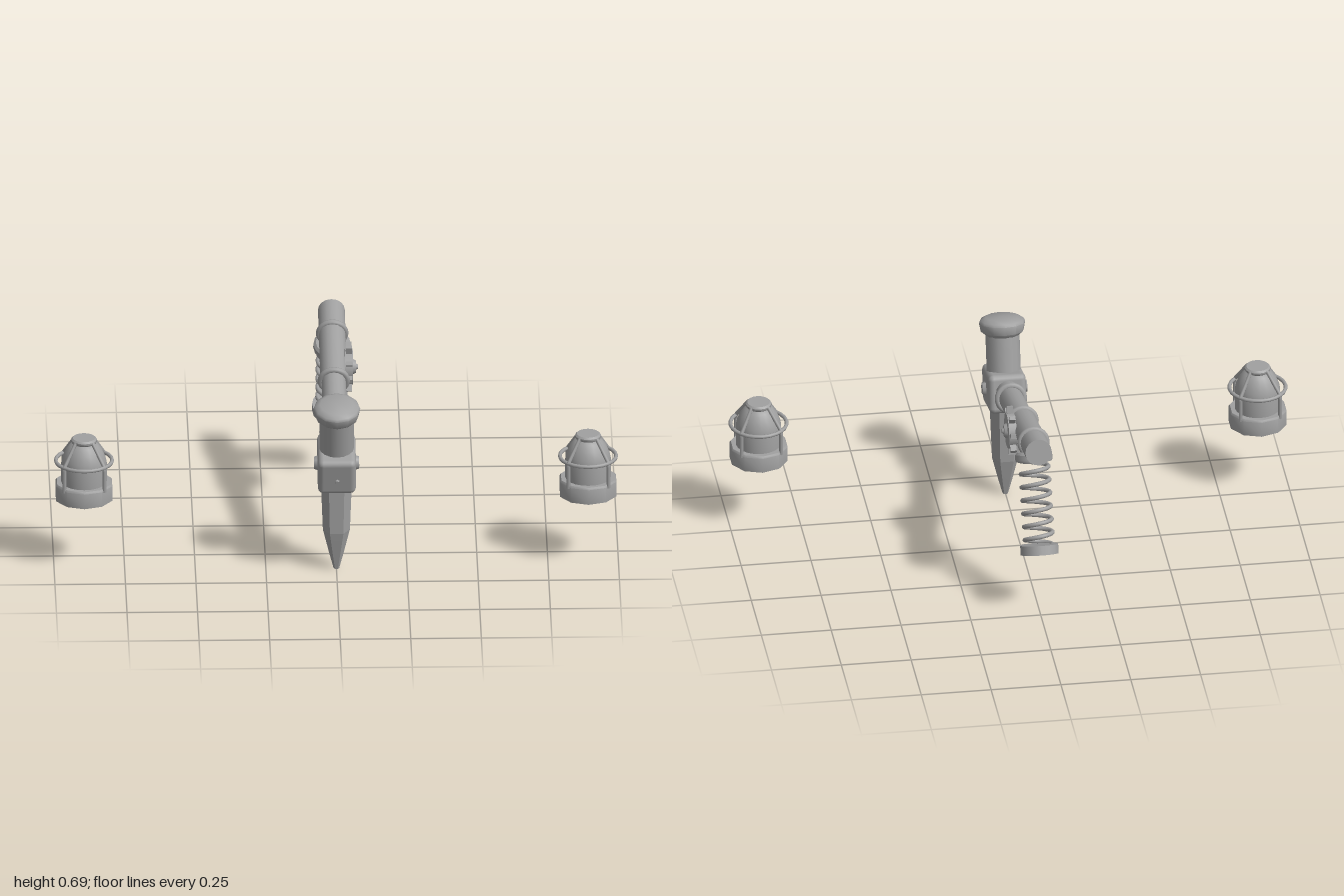
import * as THREE from 'three';
import { RoundedBoxGeometry } from 'three/addons/geometries/RoundedBoxGeometry.js';
import { toCreasedNormals } from 'three/addons/utils/BufferGeometryUtils.js';

const steel = new THREE.MeshStandardMaterial({ color: 0xa0a0a0 });
steel.name = 'steel grey';

function add(parent, name, geometry, pos = [0, 0, 0], rot = [0, 0, 0]) {
  const mesh = new THREE.Mesh(geometry, steel);
  mesh.name = name;
  mesh.position.set(...pos);
  mesh.rotation.set(...rot);
  parent.add(mesh);
  return mesh;
}

function group(parent, name, pos, rotX = 0) {
  const g = new THREE.Group();
  g.name = name;
  g.position.set(...pos);
  g.rotation.x = rotX;
  parent.add(g);
  return g;
}

// Turned part from [radius, height] pairs listed bottom to top
function turned(points, sides, crease = 0.7) {
  const profile = points.map(([r, y]) => new THREE.Vector2(r, y));
  return toCreasedNormals(new THREE.LatheGeometry(profile, sides), crease);
}

const cylinder = (r, h, sides = 16) => new THREE.CylinderGeometry(r, r, h, sides);
const vec = (x, y, z) => new THREE.Vector3(x, y, z);

// Striking head, handle and gear, all on the tilted frame of the head
function buildTool(parent) {
  const tool = group(parent, 'hammer', [0, 0.417, 0.4], 0.242);
  add(tool, 'headBlock', new RoundedBoxGeometry(0.135, 0.142, 0.19, 2, 0.02));
  add(tool, 'headNeck', cylinder(0.061, 0.2), [0, 0.12, 0]);
  add(tool, 'headCap', turned([[0, 0.198], [0.061, 0.198], [0.077, 0.212], [0.083, 0.243], [0.078, 0.252],
    [0.06, 0.262], [0, 0.264]], 12));

  // Bolts on the faces of the head
  for (const s of [-1, 1]) {
    add(tool, 'sideBolt', new THREE.CylinderGeometry(0.022, 0.027, 0.016, 6), [s * 0.072, 0.002, 0], [0, 0, -s * Math.PI / 2]);
  }
  add(tool, 'frontBolt', new THREE.CylinderGeometry(0.007, 0.01, 0.01, 6), [0, -0.01, 0.097], [Math.PI / 2, 0, 0]);

  // Handle in two thicknesses with collar rings
  const y = 0.008;
  add(tool, 'handleFront', cylinder(0.043, 0.44), [0, y, -0.28], [Math.PI / 2, 0, 0]);
  add(tool, 'handleRear', cylinder(0.0475, 0.41), [0, y, -0.672], [Math.PI / 2, 0, 0]);
  for (const z of [-0.17, -0.467, -0.742]) {
    add(tool, 'handleRing', new THREE.TorusGeometry(0.047, 0.011, 8, 24), [0, y, z]);
  }

  // Cog on the left side of the handle
  const gear = group(tool, 'gear', [0, 0.003, -0.553]);
  const across = [0, 0, -Math.PI / 2];
  add(gear, 'gearDisc', cylinder(0.064, 0.028, 20), [0.055, 0, 0], across);
  add(gear, 'gearHub', new THREE.CylinderGeometry(0.022, 0.028, 0.012, 12), [0.074, 0, 0], across);
  add(gear, 'gearPin', new THREE.CylinderGeometry(0.008, 0.012, 0.008, 8), [0.083, 0, 0], across);
  for (let i = 0; i < 8; i++) {
    const a = i * Math.PI / 4;
    add(gear, 'gearTooth', new THREE.BoxGeometry(0.022, 0.034, 0.015),
      [0.055, Math.cos(a) * 0.071, Math.sin(a) * 0.071], [a, 0, 0]);
  }
}

// Six-sided spike hanging straight down below the head
function buildSpike(parent) {
  const spike = turned([[0, 0], [0.01, 0], [0.026, 0.06], [0.048, 0.15], [0.056, 0.36], [0, 0.36]], 6, 0.15);
  add(parent, 'spike', spike, [0, 0, 0.376], [0, Math.PI / 2, 0]);
}

// Coil spring between two discs under the rear of the handle
function buildSpring(parent) {
  const spring = group(parent, 'spring', [0, 0.55, -0.329], 0.433);
  add(spring, 'springTopDisc', turned([[0, -0.016], [0.064, -0.016], [0.067, -0.008], [0.066, 0.01], [0.058, 0.018], [0, 0.018]], 16));
  add(spring, 'springFoot', cylinder(0.068, 0.034), [0, -0.33, 0]);
  const turns = 6.5, points = [];
  for (let i = 0; i <= turns * 14; i++) {
    const a = i / 14 * Math.PI * 2;
    points.push(vec(Math.cos(a) * 0.05, -0.012 - 0.305 * i / (turns * 14), Math.sin(a) * 0.05));
  }
  add(spring, 'springCoil', new THREE.TubeGeometry(new THREE.CatmullRomCurve3(points), 200, 0.008, 8));
}

// Caged lamp with a domed glass
function buildLantern(parent, x, name) {
  const lamp = group(parent, name, [x, 0.253, 0.31]);
  add(lamp, 'lampBase', turned([[0, 0], [0.105, 0], [0.105, 0.056], [0.1, 0.063], [0, 0.063]], 10));
  add(lamp, 'lampGlass', turned([[0.081, 0.05], [0.081, 0.135], [0.077, 0.155], [0.066, 0.183], [0.05, 0.205],
    [0.03, 0.22], [0, 0.226]], 20));
  add(lamp, 'cageRing', new THREE.TorusGeometry(0.1, 0.007, 8, 24), [0, 0.144, 0], [Math.PI / 2, 0, 0]);
  add(lamp, 'lampCap', turned([[0, 0.213], [0.042, 0.213], [0.046, 0.218], [0.046, 0.225], [0.04, 0.231], [0, 0.231]], 16));
  for (let i = 0; i < 4; i++) {
    const path = new THREE.CurvePath();
    const bend = [vec(0.1, 0.05, 0), vec(0.1, 0.145, 0), vec(0.042, 0.222, 0)];
    path.add(new THREE.LineCurve3(bend[0], bend[1]));
    path.add(new THREE.LineCurve3(bend[1], bend[2]));
    add(lamp, 'cageBar', new THREE.TubeGeometry(path, 12, 0.007, 6), [0, 0, 0], [0, Math.PI / 4 + i * Math.PI / 2, 0]);
  }
}

export function createModel() {
  const model = new THREE.Group();
  model.name = 'hammerAndLanterns';
  buildTool(model);
  buildSpike(model);
  buildSpring(model);
  buildLantern(model, 0.893, 'leftLantern');
  buildLantern(model, -0.893, 'rightLantern');
  return model;
}
